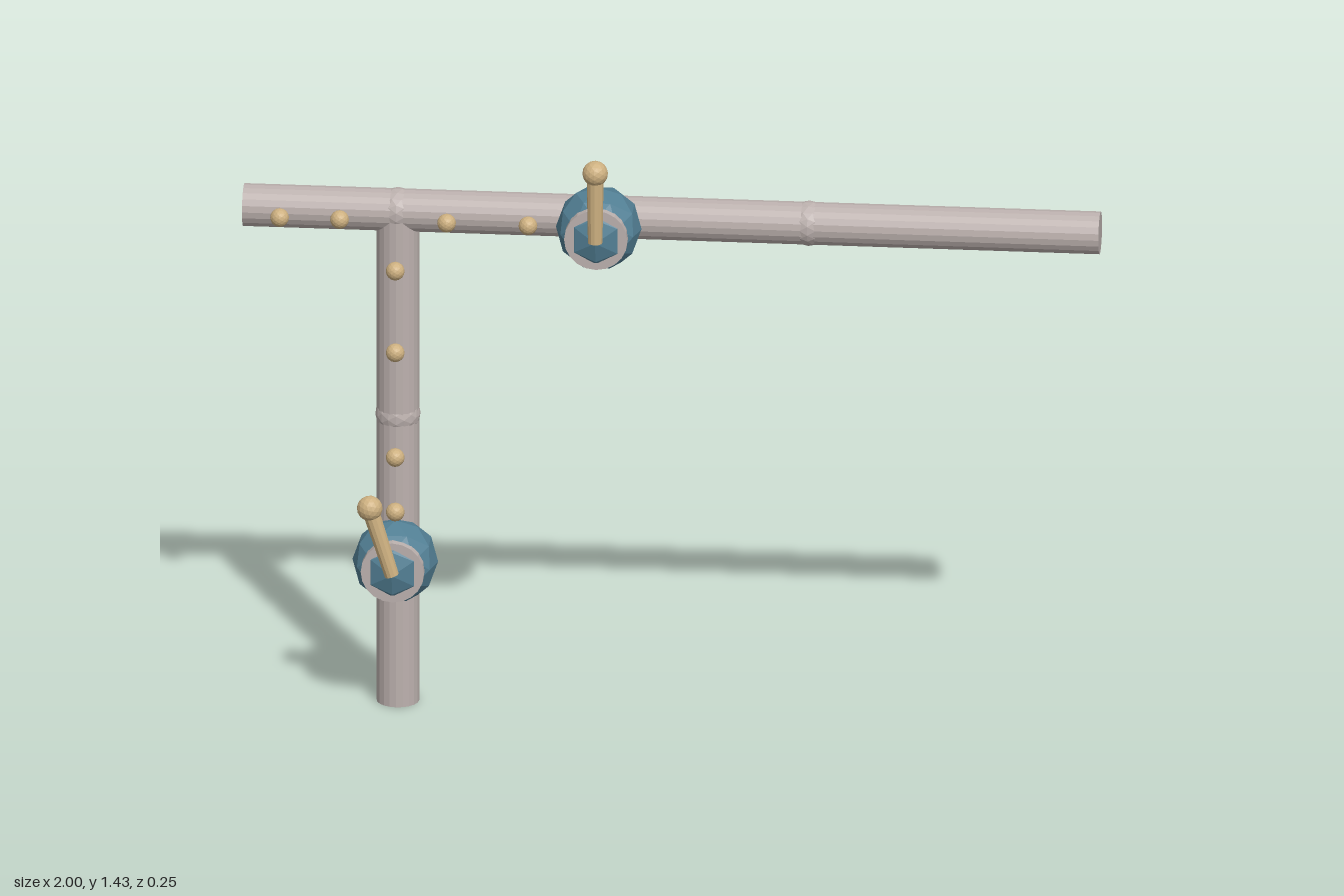
import * as THREE from 'three';

const mat = (name, color) => {
  const m = new THREE.MeshStandardMaterial({ color, flatShading: true });
  m.name = name;
  return m;
};

export function createModel() {
  const grey = mat('pipe grey', 0xbcb1ae);
  const blue = mat('valve blue', 0x527f94);
  const tan = mat('handle tan', 0xcdb080);

  const model = new THREE.Group();
  model.name = 'pipework';

  const R = 0.05, PIPE_Z = -0.07, TOP = 1.23, POST_X = -0.64;

  const add = (parent, name, geometry, material, x, y, z) => {
    const mesh = new THREE.Mesh(geometry, material);
    mesh.name = name;
    mesh.position.set(x, y, z);
    parent.add(mesh);
    return mesh;
  };

  // Pipes: a long horizontal run and a post below it
  const run = add(model, 'horizontalPipe', new THREE.CylinderGeometry(R, R, 2, 20), grey, 0, TOP, PIPE_Z);
  run.rotation.z = Math.PI / 2;
  add(model, 'verticalPipe', new THREE.CylinderGeometry(R, R, TOP, 20), grey, POST_X, TOP / 2, PIPE_Z);

  // Faceted joints that barely break through the pipe surface
  const jointGeo = new THREE.IcosahedronGeometry(0.053, 2);
  for (const [x, y] of [[POST_X, TOP], [-0.165, TOP], [0.32, TOP], [POST_X, 0.72], [POST_X, 0.38]]) {
    add(model, 'pipeJoint', jointGeo, grey, x, y, PIPE_Z);
  }

  // Studs along the front of the pipes
  const studGeo = new THREE.IcosahedronGeometry(0.022, 2);
  for (const x of [-0.91, -0.77, -0.52, -0.33]) add(model, 'runStud', studGeo, tan, x, TOP, 0.003);
  for (const y of [1.105, 0.9, 0.637, 0.5]) add(model, 'postStud', studGeo, tan, POST_X, y, 0.003);

  // Valves: faceted body, front collar and a lever with a knob
  const addValve = (x, y, tilt) => {
    const valve = new THREE.Group();
    valve.name = 'valve';
    valve.position.set(x, y, 0);
    add(valve, 'valveBody', new THREE.IcosahedronGeometry(0.1, 1), blue, 0, 0, 0);
    const collar = add(valve, 'valveCollar', new THREE.CylinderGeometry(0.074, 0.074, 0.03, 20), grey, 0, 0, 0.065);
    collar.rotation.x = Math.PI / 2;

    const lever = new THREE.Group();
    lever.name = 'lever';
    lever.position.z = 0.094;
    lever.rotation.z = tilt;
    add(lever, 'leverArm', new THREE.CylinderGeometry(0.02, 0.017, 0.17, 12), tan, 0, 0.085, 0);
    add(lever, 'leverKnob', new THREE.IcosahedronGeometry(0.03, 2), tan, 0, 0.174, 0);
    valve.add(lever);
    model.add(valve);
  };
  addValve(-0.165, TOP, 0);
  addValve(POST_X, 0.378, 0.3);

  return model;
}
